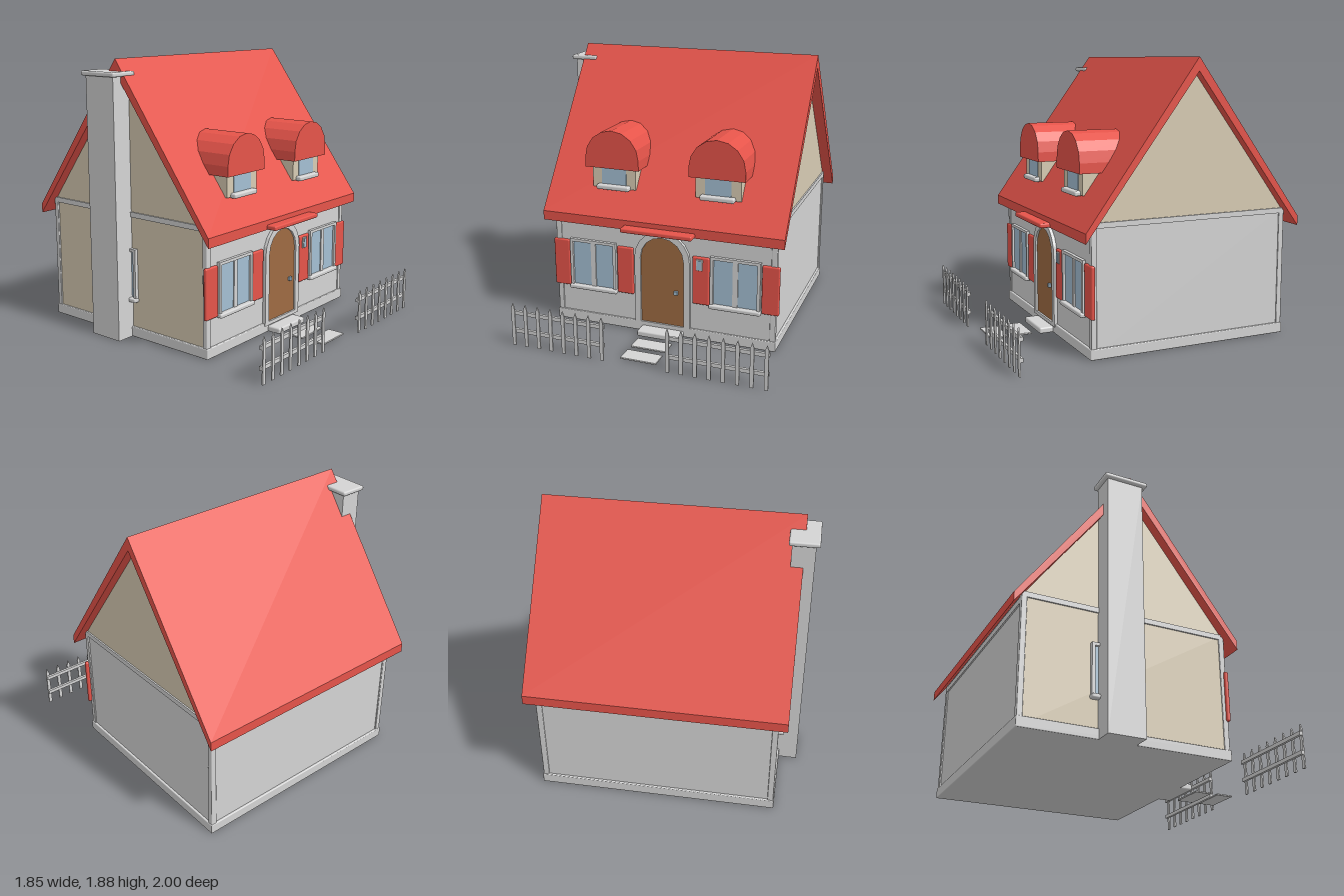
import * as THREE from 'three';
import { RoundedBoxGeometry } from 'three/addons/geometries/RoundedBoxGeometry.js';

const colour = (name, hex) => {
  const m = new THREE.MeshStandardMaterial({ color: hex });
  m.name = name;
  return m;
};

export function createModel() {
  const house = new THREE.Group();
  house.name = 'cottage';
  const red = colour('roof red', 0xe6544a);
  const grey = colour('light grey', 0xd4d4d4);
  const beige = colour('beige plaster', 0xd8ccb4);
  const blue = colour('glass blue', 0xa4bfd3);
  const brown = colour('door brown', 0x9e6b43);

  const add = (name, geometry, material, parent = house) => {
    const mesh = new THREE.Mesh(geometry, material);
    mesh.name = name;
    parent.add(mesh);
    return mesh;
  };
  const group = (name) => {
    const g = new THREE.Group();
    g.name = name;
    house.add(g);
    return g;
  };
  // Box from its limits; a radius rounds its edges
  const box = (name, mat, [x0, x1], [y0, y1], [z0, z1], parent = house, r = 0) => {
    const s = [x1 - x0, y1 - y0, z1 - z0];
    const geo = r ? new RoundedBoxGeometry(...s, 2, r) : new THREE.BoxGeometry(...s);
    const mesh = add(name, geo, mat, parent);
    mesh.position.set((x0 + x1) / 2, (y0 + y1) / 2, (z0 + z1) / 2);
    return mesh;
  };
  const polygon = (points) => new THREE.Shape(points.map(([x, y]) => new THREE.Vector2(x, y)));
  const extrudeZ = (shape, z0, z1) =>
    new THREE.ExtrudeGeometry(shape, { depth: z1 - z0, bevelEnabled: false }).translate(0, 0, z0);
  // Profile given as [z, y], swept along x
  const extrudeX = (points, x0, x1) =>
    extrudeZ(polygon(points.map(([z, y]) => [-z, y])), x0, x1).rotateY(Math.PI / 2);
  // Straight sides with a faceted round top
  const archPoints = (cx, r, y0, spring, n = 8) => {
    const pts = [[cx - r, y0], [cx + r, y0]];
    for (let i = 0; i <= n; i++) {
      const a = (i / n) * Math.PI;
      pts.push([cx + r * Math.cos(a), spring + r * Math.sin(a)]);
    }
    return pts;
  };

  // Walls and gables
  box('walls', [grey, beige, grey, grey, grey, grey], [-0.76, 0.82], [0.01, 0.87], [-0.92, 0.485]);
  add('gables', extrudeX([[0.47, 0.87], [-0.22, 1.8], [-0.91, 0.87]], -0.76, 0.82), beige);

  // Trim: plinth, top rails and corner posts
  const trim = group('wallTrim');
  box('plinth', grey, [-0.775, 0.835], [0, 0.07], [-0.935, 0.5], trim, 0.006);
  for (const x of [-0.77, 0.815]) {
    box('sideRail', grey, [x, x + 0.015], [0.835, 0.87], [-0.92, 0.47], trim);
    for (const z of [-0.93, 0.455])
      box('cornerPost', grey, x < 0 ? [-0.77, -0.73] : [0.79, 0.83], [0.06, 0.86], [z, z + 0.037], trim, 0.006);
  }
  box('backRail', grey, [-0.76, 0.82], [0.8, 0.84], [-0.93, -0.91], trim);

  // Gabled roof with open soffit
  add('roof', extrudeX([
    [0.555, 0.82], [-0.22, 1.88], [-1.0, 0.82], [-1.0, 0.755], [-0.22, 1.79], [0.555, 0.755],
  ], -0.83, 0.89), red);

  // Chimney
  const chimney = group('chimney');
  box('chimneyStack', grey, [-0.9, -0.75], [0, 1.78], [-0.42, -0.17], chimney);
  box('chimneyCap', grey, [-0.925, -0.73], [1.768, 1.8], [-0.445, -0.14], chimney, 0.012);

  // Dormers
  for (const cx of [-0.34, 0.405]) {
    const dormer = group('dormer');
    const span = (w) => [cx - w, cx + w];
    add('dormerHood', extrudeZ(polygon(archPoints(cx, 0.195, 1.145, 1.213)), 0.0, 0.472), red, dormer);
    box('dormerWall', beige, span(0.158), [1.0, 1.15], [0.1, 0.435], dormer);
    box('dormerGlass', blue, span(0.09), [1.02, 1.145], [0.433, 0.439], dormer);
    box('dormerSill', grey, span(0.12), [0.992, 1.026], [0.42, 0.475], dormer, 0.012);
  }

  // Front windows with centre bar, sill and shutters
  for (const cx of [-0.485, 0.55]) {
    const win = group('frontWindow');
    const at = (a, b) => [cx + a, cx + b];
    for (const s of [-1, 1]) {
      const m = (a, b) => (s > 0 ? at(a, b) : at(-b, -a));
      box('frameSide', grey, m(0.152, 0.174), [0.265, 0.62], [0.48, 0.508], win);
      box('windowGlass', blue, m(0.018, 0.152), [0.28, 0.6], [0.485, 0.492], win);
      box('shutter', red, m(0.182, 0.302), [0.262, 0.604], [0.475, 0.502], win, 0.01);
    }
    box('frameTop', grey, at(-0.152, 0.152), [0.6, 0.62], [0.48, 0.508], win);
    box('centreBar', grey, at(-0.018, 0.018), [0.27, 0.6], [0.48, 0.5], win);
    box('windowSill', grey, at(-0.18, 0.18), [0.25, 0.28], [0.48, 0.525], win, 0.01);
  }
  // Small lamp beside the door
  box('lampFrame', grey, [0.278, 0.324], [0.51, 0.59], [0.495, 0.51], house, 0.005);
  box('lampGlass', blue, [0.286, 0.316], [0.518, 0.582], [0.508, 0.514]);

  // Side window tucked behind the chimney
  const side = group('sideWindow');
  for (const z of [-0.47, -0.142]) box('frameSide', grey, [-0.785, -0.755], [0.26, 0.62], [z, z + 0.022], side);
  box('frameTop', grey, [-0.785, -0.755], [0.6, 0.62], [-0.45, -0.14], side);
  box('sideGlass', blue, [-0.768, -0.759], [0.28, 0.6], [-0.45, -0.14], side);
  box('sideSill', grey, [-0.8, -0.755], [0.25, 0.28], [-0.475, -0.115], side, 0.01);

  // Arched door, surround, knob, canopy and step
  const entrance = group('entrance');
  const surround = polygon(archPoints(0.032, 0.2, 0.05, 0.55, 10));
  surround.holes.push(polygon(archPoints(0.032, 0.157, 0.075, 0.55)));
  add('doorSurround', extrudeZ(surround, 0.48, 0.508), grey, entrance);
  add('door', extrudeZ(polygon(archPoints(0.032, 0.158, 0.075, 0.55)), 0.48, 0.495), brown, entrance);
  box('doorKnob', blue, [0.119, 0.144], [0.308, 0.334], [0.494, 0.512], entrance);
  box('canopy', red, [-0.222, 0.286], [0.755, 0.787], [0.48, 0.625], entrance, 0.01);
  box('doorStep', grey, [-0.122, 0.186], [0, 0.042], [0.48, 0.597], entrance, 0.012);

  // Path stones
  for (const z of [0.642, 0.815])
    box('pathStone', grey, [-0.095, 0.157], [0, 0.012], [z, z + 0.123], house, 0.004);

  // Picket fences
  for (const x0 of [-0.847, 0.259]) {
    const fence = group('fence');
    for (let i = 0; i < 8; i++) {
      const x = x0 + i * 0.0927, w = 0.0125;
      add('picket', extrudeZ(polygon([
        [x - w, 0], [x + w, 0], [x + w, 0.268], [x, 0.303], [x - w, 0.268],
      ]), 0.99, 1.0), grey, fence);
    }
    for (const y of [0.09, 0.22])
      box('fenceRail', grey, [x0 - 0.014, x0 + 0.663], [y, y + 0.026], [0.972, 0.991], fence);
  }
  return house;
}
